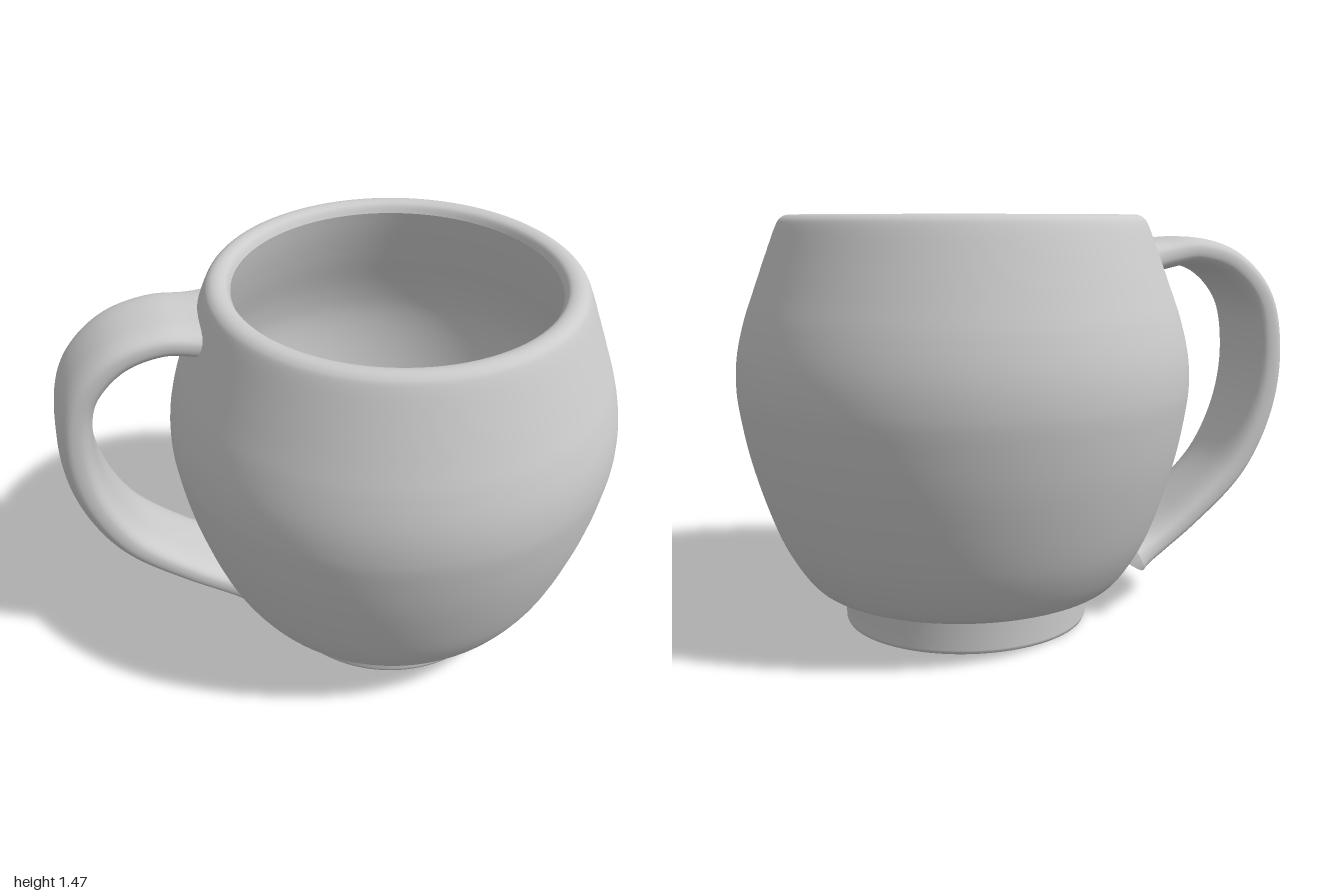
import * as THREE from 'three';

const CUP_X = 0.193;
const HANDLE_Z = -0.1;
const v2 = ([x, y]) => new THREE.Vector2(x, y);
const spline = (pts, n) => new THREE.SplineCurve(pts.map(v2)).getPoints(n);

// Outer belly from the foot up over the rounded rim
const OUTER = [
  [0.44, 0.125], [0.49, 0.135], [0.565, 0.165], [0.645, 0.28], [0.705, 0.42], [0.765, 0.62],
  [0.799, 0.8], [0.806, 0.9], [0.797, 1.0], [0.77, 1.11], [0.735, 1.21], [0.695, 1.32],
  [0.655, 1.425], [0.634, 1.457], [0.605, 1.467], [0.575, 1.458], [0.56, 1.43],
];
// Cavity from the rim down to the sunken floor
const INNER = [
  [0.56, 1.43], [0.585, 1.34], [0.625, 1.22], [0.685, 1.05], [0.71, 0.9], [0.69, 0.7],
  [0.63, 0.46], [0.55, 0.31], [0.45, 0.225], [0.37, 0.19], [0.32, 0.15], [0.302, 0.09],
];

function outerRadius(y) {
  for (let i = 1; i < 14; i++) {
    const [r0, y0] = OUTER[i - 1], [r1, y1] = OUTER[i];
    if (y <= y1) return r0 + (r1 - r0) * Math.max(0, (y - y0) / (y1 - y0));
  }
  return 0.62;
}

// Flat strap swept along a path; ends widen and stay inside the cup wall
function handleGeometry() {
  const path = new THREE.CatmullRomCurve3([
    [-0.40, 1.31], [-0.5, 1.325], [-0.62, 1.337], [-0.77, 1.293], [-0.895, 1.165], [-0.938, 0.97],
    [-0.912, 0.75], [-0.805, 0.53], [-0.61, 0.35], [-0.48, 0.265], [-0.38, 0.22],
  ].map(([x, y]) => new THREE.Vector3(x, y, HANDLE_Z)));
  const rings = 96, sides = 40;
  const pos = [], index = [];
  for (let i = 0; i <= rings; i++) {
    const t = i / rings;
    const p = path.getPointAt(t), d = path.getTangentAt(t);
    const flare = Math.exp(-t * 22) + Math.exp(-(1 - t) * 20);
    const halfWidth = 0.168 + 0.05 * flare;
    const halfThick = 0.043 + 0.019 * Math.sin(Math.PI * t) + 0.025 * flare;
    for (let j = 0; j < sides; j++) {
      const a = (j / sides) * Math.PI * 2;
      const round = (c, e) => Math.sign(c) * Math.abs(c) ** e;
      const w = halfWidth * round(Math.cos(a), 0.55);
      const h = halfThick * round(Math.sin(a), 0.75);
      let x = p.x - d.y * h, z = p.z + w;
      const y = p.y + d.x * h;
      // Push anything that reaches too deep back into the wall
      const r = Math.hypot(x - CUP_X, z), min = outerRadius(y) - 0.025;
      if (r < min) {
        x = CUP_X + (x - CUP_X) * min / r;
        z *= min / r;
      }
      pos.push(x, y, z);
      if (i < rings) {
        const k = (j + 1) % sides;
        const A = i * sides + j, B = i * sides + k, C = A + sides, D = B + sides;
        index.push(A, B, C, B, D, C);
      }
    }
  }
  const geo = new THREE.BufferGeometry();
  geo.setAttribute('position', new THREE.Float32BufferAttribute(pos, 3));
  geo.setIndex(index);
  geo.computeVertexNormals();
  return geo;
}

export function createModel() {
  const group = new THREE.Group();
  group.name = 'mug';
  const material = new THREE.MeshStandardMaterial({ color: 0xcccccc, side: THREE.DoubleSide });
  const add = (name, geometry, x = 0) => {
    const mesh = new THREE.Mesh(geometry, material);
    mesh.name = name;
    mesh.position.x = x;
    group.add(mesh);
  };

  add('body', new THREE.LatheGeometry(spline(OUTER, 90), 96), CUP_X);
  add('cavity', new THREE.LatheGeometry(spline(INNER, 60), 96), CUP_X);

  // Flat floor inside the cup
  const floor = new THREE.CircleGeometry(0.302, 96).rotateX(-Math.PI / 2).translate(0, 0.09, 0);
  add('floor', floor, CUP_X);

  // Foot ring with a slightly softened lower edge and closed base
  const foot = [[0, 0], [0.43, 0], [0.432, 0], [0.441, 0.003], [0.445, 0.012], [0.445, 0.016],
    [0.445, 0.115], [0.45, 0.13]];
  add('foot', new THREE.LatheGeometry(foot.map(v2), 96), CUP_X);

  add('handle', handleGeometry());
  return group;
}
